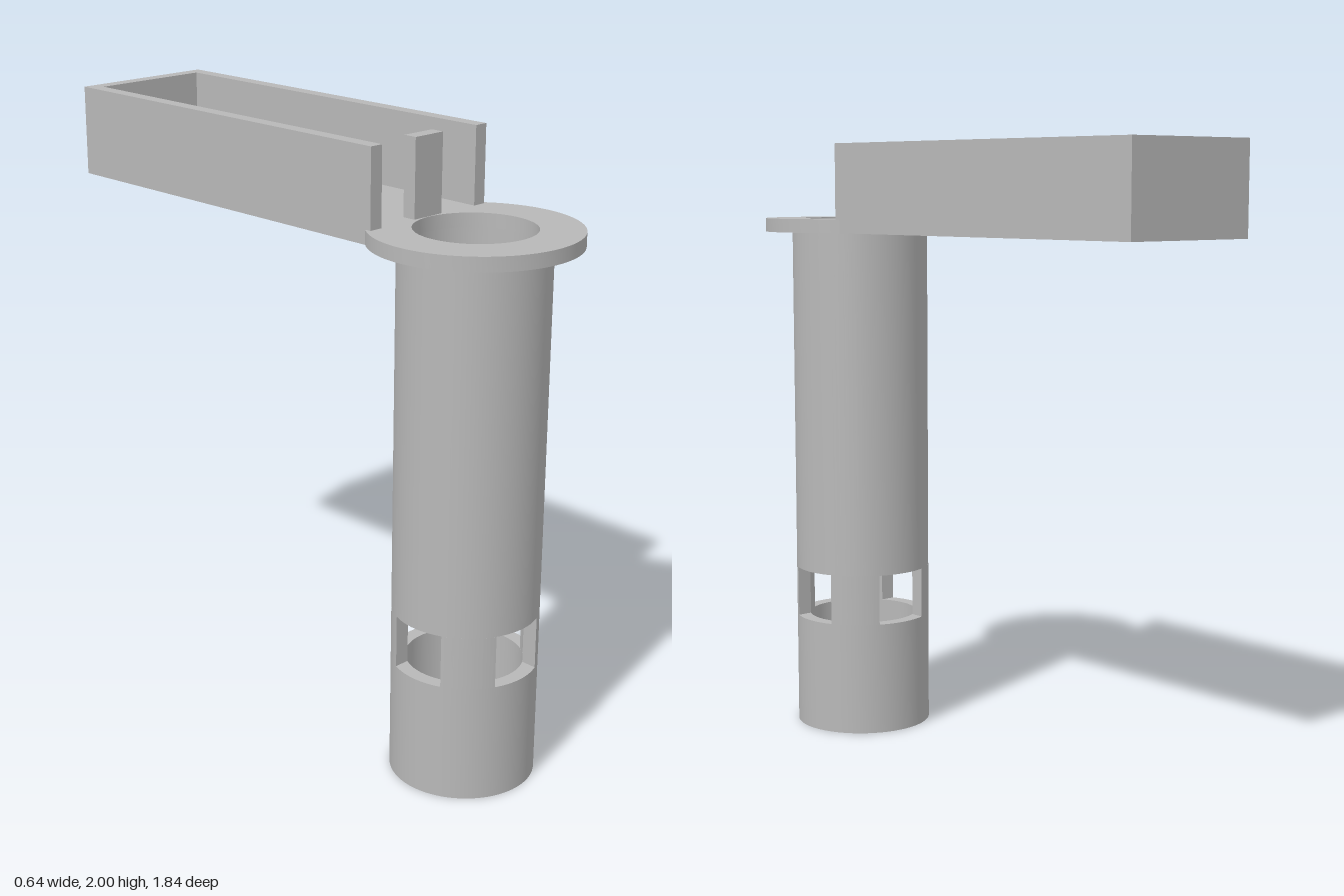
import * as THREE from 'three';
import { toCreasedNormals } from 'three/addons/utils/BufferGeometryUtils.js';

const CZ = 0.6;                      // tube axis
const R_OUT = 0.23, R_IN = 0.185;    // tube radii
const R_FLANGE = 0.32;
const HALF_W = 0.245, WALL = 0.045;  // tray
const BACK = -0.92, FRONT = 0.415;
const BASE = 1.71, FLOOR = 1.755, TOP = 2;
const WIN = 0.093, WIN_LOW = 0.38, WIN_HIGH = 0.55;

const grey = new THREE.MeshStandardMaterial({ color: 0xb8b8b8 });
grey.name = 'grey plastic';

// Extrudes a plan shape (drawn as x, -z) upward from y0 to y1
function slab(name, shape, y0, y1) {
  const geo = new THREE.ExtrudeGeometry(shape, { depth: y1 - y0, bevelEnabled: false, curveSegments: 48 });
  geo.rotateX(-Math.PI / 2).translate(0, y0, 0);
  const mesh = new THREE.Mesh(toCreasedNormals(geo, 0.5), grey);
  mesh.name = name;
  return mesh;
}

function circleHole(x, z, r) {
  return new THREE.Path().absarc(x, -z, r, 0, Math.PI * 2, true);
}

function ring() {
  const s = new THREE.Shape().absarc(0, -CZ, R_OUT, 0, Math.PI * 2, false);
  s.holes.push(circleHole(0, CZ, R_IN));
  return s;
}

// Tube wall between two windows, with window sides parallel to the axes
function pillar(turn) {
  const a = Math.asin(WIN / R_OUT), b = Math.asin(WIN / R_IN), q = Math.PI / 2;
  const s = new THREE.Shape();
  s.absarc(0, -CZ, R_OUT, turn + a, turn + q - a, false);
  s.absarc(0, -CZ, R_IN, turn + q - b, turn + b, true);
  s.closePath();
  return s;
}

export function createModel() {
  const model = new THREE.Group();
  model.name = 'tubeWithTray';

  // Tube with four windows near the foot
  const tube = new THREE.Group();
  tube.name = 'tube';
  tube.add(slab('lowerTube', ring(), 0, WIN_LOW), slab('upperTube', ring(), WIN_HIGH, BASE));
  for (let i = 0; i < 4; i++) {
    tube.add(slab('windowPillar', pillar(i * Math.PI / 2), WIN_LOW, WIN_HIGH));
  }
  model.add(tube);

  // Flange and tray floor in one plate
  const t = Math.acos(HALF_W / R_FLANGE);
  const plate = new THREE.Shape();
  plate.moveTo(HALF_W, -BACK);
  plate.lineTo(-HALF_W, -BACK);
  plate.absarc(0, -CZ, R_FLANGE, Math.PI - t, Math.PI * 2 + t, false);
  plate.closePath();
  plate.holes.push(circleHole(0, CZ, R_IN));
  // Small blind holes under the side walls
  for (const x of [-HALF_W + WALL / 2, HALF_W - WALL / 2]) {
    for (const z of [BACK + WALL / 2, -0.65, -0.25, 0.15]) plate.holes.push(circleHole(x, z, 0.01));
  }
  model.add(slab('flangeAndTrayFloor', plate, BASE, FLOOR));

  // Tray walls, open toward the tube
  const inner = HALF_W - WALL;
  const walls = new THREE.Shape([
    [-HALF_W, FRONT], [-inner, FRONT], [-inner, BACK + WALL], [inner, BACK + WALL],
    [inner, FRONT], [HALF_W, FRONT], [HALF_W, BACK], [-HALF_W, BACK],
  ].map(([x, z]) => new THREE.Vector2(x, -z)));
  model.add(slab('trayWalls', walls, FLOOR, TOP));

  // Upright post at the tray mouth
  const post = new THREE.Mesh(new THREE.BoxGeometry(0.116, TOP - FLOOR, 0.045), grey);
  post.name = 'mouthPost';
  post.position.set(0, (TOP + FLOOR) / 2, 0.389);
  model.add(post);

  return model;
}
